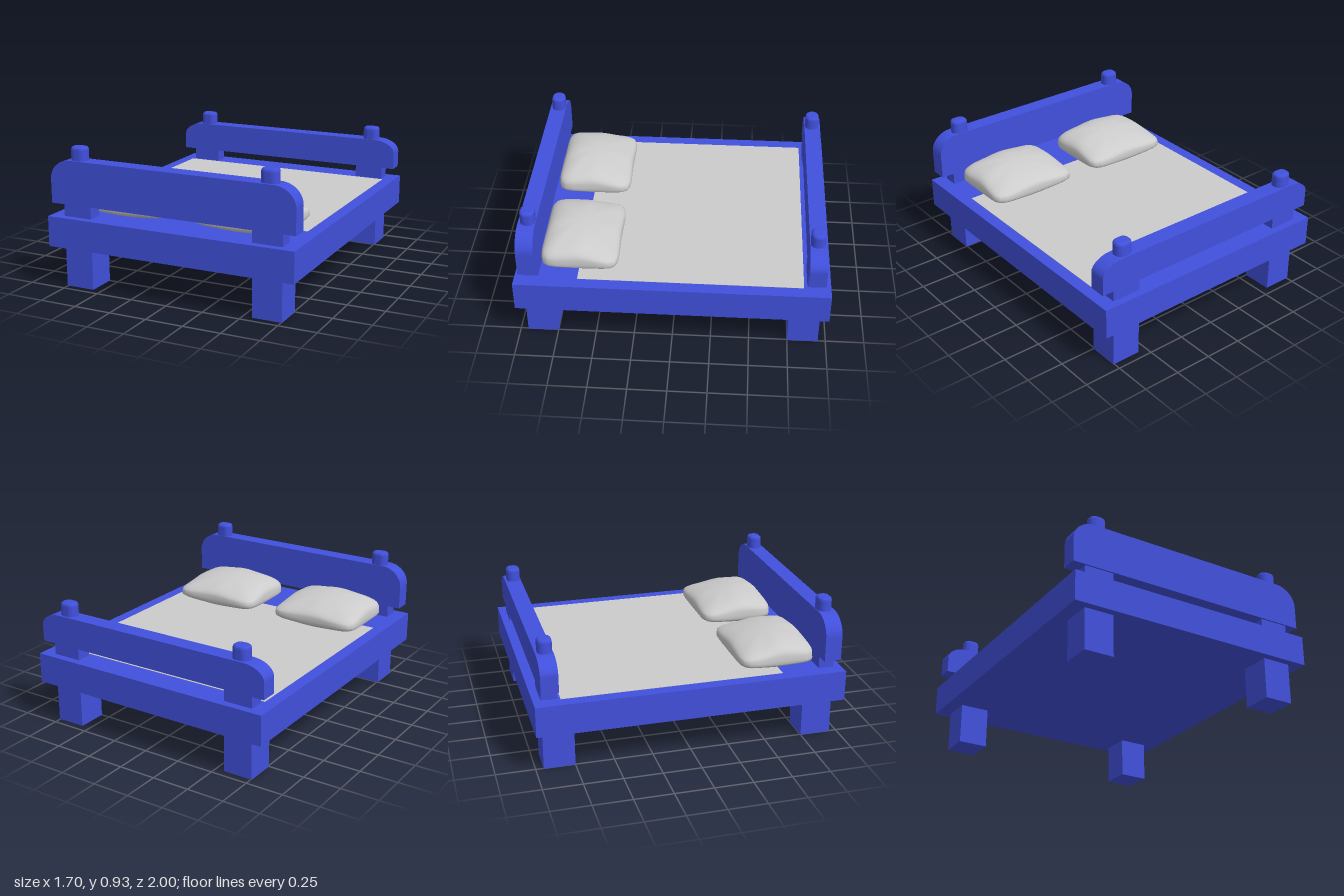
import * as THREE from 'three';
import { mergeVertices } from 'three/addons/utils/BufferGeometryUtils.js';

const blue = new THREE.MeshStandardMaterial({ color: 0x4150dc });
const grey = new THREE.MeshStandardMaterial({ color: 0xcccccc });

function add(parent, name, geometry, material, x, y, z) {
  const mesh = new THREE.Mesh(geometry, material);
  mesh.name = name;
  mesh.position.set(x, y, z);
  parent.add(mesh);
  return mesh;
}

// Board standing on y = 0 with elliptically rounded top corners
function boardGeometry(halfWidth, height, depth, rx, ry) {
  const s = new THREE.Shape();
  s.moveTo(-halfWidth, 0);
  s.lineTo(halfWidth, 0);
  s.lineTo(halfWidth, height - ry);
  s.absellipse(halfWidth - rx, height - ry, rx, ry, 0, Math.PI / 2, false);
  s.lineTo(-halfWidth + rx, height);
  s.absellipse(-halfWidth + rx, height - ry, rx, ry, Math.PI / 2, Math.PI, false);
  return new THREE.ExtrudeGeometry(s, { depth, bevelEnabled: false, curveSegments: 8 })
    .translate(0, 0, -depth / 2);
}

// Post cap: rounded rectangle rising along y with a softened top
function knobGeometry(w, d, h, r) {
  const bevel = 0.02, x = w / 2 - bevel, y = d / 2 - bevel, c = r - bevel;
  const s = new THREE.Shape();
  s.moveTo(x, -y + c);
  s.absarc(x - c, y - c, c, 0, Math.PI / 2, false);
  s.absarc(-x + c, y - c, c, Math.PI / 2, Math.PI, false);
  s.absarc(-x + c, -y + c, c, Math.PI, Math.PI * 1.5, false);
  s.absarc(x - c, -y + c, c, Math.PI * 1.5, Math.PI * 2, false);
  return new THREE.ExtrudeGeometry(s, {
    depth: h - bevel, bevelSize: bevel, bevelThickness: bevel, bevelSegments: 3, curveSegments: 5,
  }).rotateX(-Math.PI / 2);
}

// Cushion: a sphere pushed out to a square outline, thin at the corners,
// fuller toward the headboard and flattened where it rests on the sheet
function pillowGeometry(halfX, halfZ, seam) {
  const g = new THREE.SphereGeometry(1, 56, 28);
  g.deleteAttribute('normal');
  g.deleteAttribute('uv');
  const p = g.attributes.position;
  for (let i = 0; i < p.count; i++) {
    const x = p.getX(i), y = p.getY(i), z = p.getZ(i);
    const r = Math.hypot(x, z);
    const a = Math.atan2(z, x);
    const c = Math.cos(a), s = Math.sin(a);
    const diagonal = Math.sin(2 * a) ** 2;
    const k = r * (0.975 + 0.025 * diagonal) / (c ** 8 + s ** 8) ** (1 / 8);
    const u = c * k, v = s * k;
    const puff = Math.sign(y) * Math.abs(y) ** 0.6 * (1 - 0.3 * diagonal * r * r);
    const height = y > 0 ? 0.125 * (1 + 0.3 * v) : 0.075;
    p.setXYZ(i, u * halfX, Math.max(puff * height, -seam), v * halfZ);
  }
  const merged = mergeVertices(g, 1e-5);
  merged.computeVertexNormals();
  return merged;
}

export function createModel() {
  const bed = new THREE.Group();
  bed.name = 'bed';

  // Base slab and the sheet lying flush on it
  add(bed, 'bedFrame', new THREE.BoxGeometry(1.7, 0.2, 2), blue, 0, 0.37, 0);
  add(bed, 'sheet', new THREE.BoxGeometry(1.54, 0.02, 1.43), grey, 0, 0.462, -0.115);

  // Headboard end faces +z, footboard end faces -z
  const ends = [
    { name: 'head', side: 1, height: 0.288 },
    { name: 'foot', side: -1, height: 0.2 },
  ];
  const knob = knobGeometry(0.112, 0.092, 0.088, 0.042);
  for (const { name, side, height } of ends) {
    const end = new THREE.Group();
    end.name = name + 'End';
    bed.add(end);
    add(end, name + 'board', boardGeometry(0.842, height, 0.11, 0.145, height * 0.45),
      blue, 0, 0.55, side * 0.905);
    for (const x of [-0.658, 0.658]) {
      add(end, name + 'Leg', new THREE.BoxGeometry(0.196, 0.27, 0.2), blue, x, 0.135, side * 0.85);
      add(end, name + 'Post', new THREE.BoxGeometry(0.196, 0.08, 0.1), blue, x, 0.51, side * 0.9);
      add(end, name + 'Knob', knob, blue, Math.sign(x) * 0.655, 0.55 + height, side * 0.9);
    }
  }

  // Pillows resting against the headboard
  const pillow = pillowGeometry(0.315, 0.25, 0.052);
  add(bed, 'rightPillow', pillow, grey, -0.41, 0.525, 0.597);
  add(bed, 'leftPillow', pillow, grey, 0.395, 0.525, 0.597);

  return bed;
}
